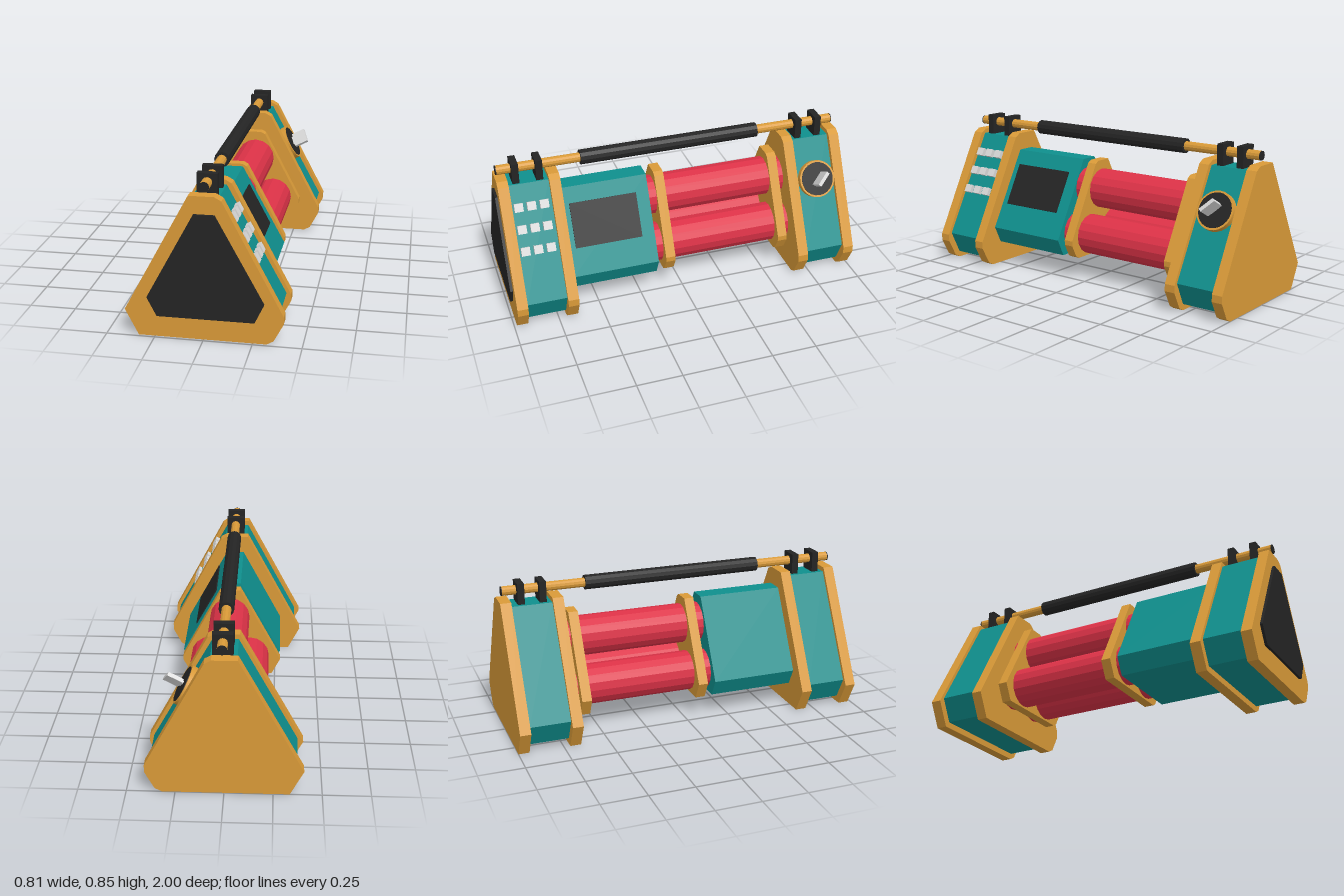
import * as THREE from 'three';

const gold = new THREE.MeshStandardMaterial({ color: 0xd99a38 });
gold.name = 'gold';
const teal = new THREE.MeshStandardMaterial({ color: 0x0f8f8d });
teal.name = 'teal';
const red = new THREE.MeshStandardMaterial({ color: 0xdc3247 });
red.name = 'red';
const black = new THREE.MeshStandardMaterial({ color: 0x242424 });
black.name = 'black';
const silver = new THREE.MeshStandardMaterial({ color: 0xd9d9d9 });
silver.name = 'silver';

// Blunted triangle, and the same with its right-hand corners chamfered
const PLAIN = [[-0.07, 0.76], [-0.405, 0.137], [-0.335, 0], [0.35, 0], [0.415, 0.137], [0.075, 0.76]];
const CHAMFERED = [[-0.07, 0.76], [-0.405, 0.137], [-0.335, 0], [0.32, 0], [0.355, 0.02],
  [0.405, 0.115], [0.405, 0.155], [0.095, 0.74], [0.06, 0.76]];

export function createModel() {
  const model = new THREE.Group();
  model.name = 'device';

  const add = (name, geometry, material, x = 0, y = 0, z = 0, parent = model) => {
    const mesh = new THREE.Mesh(geometry, material);
    mesh.name = name;
    mesh.position.set(x, y, z);
    parent.add(mesh);
    return mesh;
  };

  // Triangular prism between two depths
  const prism = (name, points, material, z0, z1, scale = 1, x = 0, y = 0) => {
    const shape = new THREE.Shape(points.map(([px, py]) => new THREE.Vector2(px * scale, py * scale)));
    const geometry = new THREE.ExtrudeGeometry(shape, { depth: z1 - z0, bevelEnabled: false });
    return add(name, geometry, material, x, y, z0);
  };

  // Faceted cylinder lying along z
  const rod = (name, material, radius, z0, z1, x, y, sides) => {
    const geometry = new THREE.CylinderGeometry(radius, radius, z1 - z0, sides).rotateX(Math.PI / 2).toNonIndexed();
    geometry.computeVertexNormals();
    return add(name, geometry, material, x, y, (z0 + z1) / 2);
  };

  // Group lying on the sloped right-hand face: local y points out, local x down the slope
  const onSlope = (name, x, y, z) => {
    const group = new THREE.Group();
    group.name = name;
    group.position.set(x, y, z);
    group.rotation.z = -1.08;
    model.add(group);
    return group;
  };

  // End blocks between gold plates
  for (const [z0, z1] of [[0.925, 0.985], [0.645, 0.705], [-0.715, -0.655], [-1, -0.94]]) {
    prism('endPlate', CHAMFERED, gold, z0, z1);
  }
  prism('frontBlock', PLAIN, teal, 0.705, 0.925, 0.92, 0, 0.035);
  prism('backBlock', PLAIN, teal, -0.94, -0.715, 0.92, 0, 0.035);
  prism('frontPanel', PLAIN, black, 0.985, 1, 0.725, 0.007, 0.117);

  // Housing with a screen on its right-hand slope
  prism('housing', PLAIN, teal, 0.155, 0.645, 0.7, 0.005, 0.128);
  const screen = onSlope('screen', 0.161, 0.47, 0.418);
  add('screenGlass', new THREE.BoxGeometry(0.25, 0.008, 0.38), black, 0, 0.002, 0, screen);

  // Three tubes held by two collars
  for (const [x, y] of [[0.015, 0.497], [-0.1, 0.248], [0.127, 0.248]]) {
    rod('tube', red, 0.113, -0.655, 0.155, x, y, 16);
  }
  for (const z of [0.055, -0.625]) prism('collar', CHAMFERED, gold, z, z + 0.055, 0.704, 0.005, 0.125);

  // Carrying handle
  rod('handleRod', gold, 0.026, -0.975, 0.975, 0.008, 0.805, 12);
  for (const z of [-0.98, 0.975]) rod('handleCap', black, 0.026, z, z + 0.005, 0.008, 0.805, 12);
  rod('grip', black, 0.041, -0.515, 0.515, 0.008, 0.805, 12);
  for (const z of [0.88, 0.75, -0.76, -0.88]) {
    add('bracket', new THREE.BoxGeometry(0.105, 0.12, 0.038), black, 0.008, 0.79, z);
  }

  // Three by three keypad on the front block
  const keypad = onSlope('keypad', 0.186, 0.52, 0.82);
  for (let row = -1; row <= 1; row++) {
    for (let col = -1; col <= 1; col++) {
      add('button', new THREE.BoxGeometry(0.046, 0.03, 0.048), silver, row * 0.119, 0.008, col * 0.07, keypad);
    }
  }

  // Dial and turning key on the back block
  const dial = onSlope('dial', 0.186, 0.52, -0.83);
  add('dialRing', new THREE.CylinderGeometry(0.107, 0.107, 0.04, 24), gold, 0, 0.012, 0, dial);
  add('dialFace', new THREE.CylinderGeometry(0.096, 0.096, 0.006, 24), black, 0, 0.032, 0, dial);
  const key = new THREE.Group();
  key.name = 'key';
  key.rotation.y = -0.75;
  dial.add(key);
  add('keyStem', new THREE.BoxGeometry(0.055, 0.03, 0.014), silver, 0, 0.038, 0, key);
  add('keyBlade', new THREE.BoxGeometry(0.09, 0.085, 0.02), silver, 0, 0.085, 0, key);

  return model;
}
